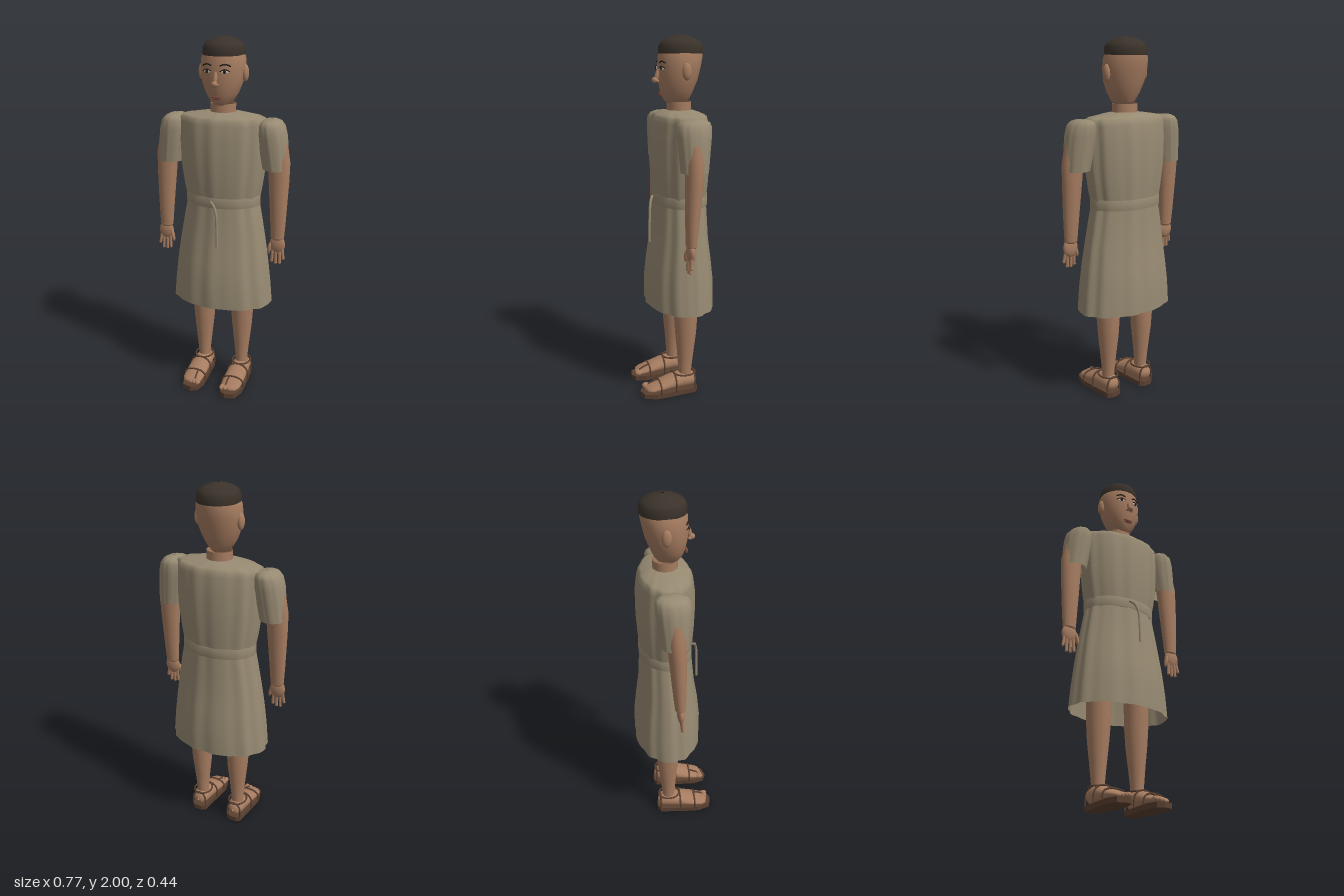
import * as THREE from 'three';

const mat = (name, color, side = THREE.FrontSide) => {
  const m = new THREE.MeshStandardMaterial({ color, side });
  m.name = name;
  return m;
};

export function createModel() {
  const root = new THREE.Group();
  root.name = 'figure';
  const skin = mat('skin', 0xa67c60, THREE.DoubleSide);
  const cloth = mat('cloth', 0x978a72, THREE.DoubleSide);
  const hair = mat('hair', 0x3a322a, THREE.DoubleSide);
  const leather = mat('leather', 0x5a4030);
  const white = mat('eyeWhite', 0xd8d0c4);
  const dark = mat('dark', 0x2a201a);
  const lip = mat('lip', 0x7c4c40);

  const add = (name, geo, m, x = 0, y = 0, z = 0, parent = root) => {
    const mesh = new THREE.Mesh(geo, m);
    mesh.name = name;
    mesh.position.set(x, y, z);
    parent.add(mesh);
    return mesh;
  };

  // Skin over elliptical rings [y, rx, rz, cx, cz], listed bottom to top, with optional cloth folds
  const loft = (rings, n = 32, fold = 0) => {
    const pos = [], idx = [];
    rings.forEach(([y, rx, rz, cx, cz]) => {
      for (let i = 0; i < n; i++) {
        const a = (i / n) * Math.PI * 2;
        const f = 1 + fold * (Math.cos(11 * a) + 0.6 * Math.cos(17 * a + 1));
        pos.push(cx + rx * f * Math.sin(a), y, cz + rz * f * Math.cos(a));
      }
    });
    for (let r = 0; r < rings.length - 1; r++) {
      for (let i = 0; i < n; i++) {
        const a = r * n + i, b = r * n + (i + 1) % n;
        idx.push(a, b, a + n, b, b + n, a + n);
      }
    }
    const g = new THREE.BufferGeometry();
    g.setAttribute('position', new THREE.Float32BufferAttribute(pos, 3));
    g.setIndex(idx);
    g.computeVertexNormals();
    return g;
  };
  const ball = (rx, ry, rz) => new THREE.SphereGeometry(1, 20, 14).scale(rx, ry, rz);
  const tube = (pts, r, closed = false) => new THREE.TubeGeometry(
    new THREE.CatmullRomCurve3(pts.map((p) => new THREE.Vector3(...p)), closed), 28, r, 8, closed);

  // Tunic: flared skirt, bodice closing at the neck, belt and hanging tie
  add('skirt', loft([
    [0.52, 0.287, 0.186, 0, -0.033], [0.65, 0.275, 0.186, 0, -0.033],
    [0.78, 0.26, 0.172, 0, -0.033], [0.9, 0.243, 0.154, 0, -0.035],
    [1.02, 0.222, 0.145, 0, -0.038], [1.12, 0.203, 0.138, 0, -0.04],
  ], 96, 0.016), cloth);
  add('bodice', loft([
    [1.12, 0.203, 0.138, 0, -0.04], [1.2, 0.218, 0.148, 0, -0.038],
    [1.32, 0.235, 0.155, 0, -0.038], [1.46, 0.241, 0.155, 0, -0.038],
    [1.55, 0.242, 0.143, 0, -0.038], [1.578, 0.24, 0.135, 0, -0.038],
    [1.588, 0.22, 0.122, 0, -0.038], [1.602, 0.13, 0.092, 0, -0.037],
    [1.61, 0.07, 0.066, 0, -0.036],
  ], 96, 0.016), cloth);
  add('belt', loft([
    [1.1, 0.203, 0.136, 0, -0.04], [1.101, 0.211, 0.146, 0, -0.04],
    [1.157, 0.211, 0.146, 0, -0.04], [1.158, 0.2, 0.134, 0, -0.04],
  ], 64, 0.006), cloth);
  add('beltTie', tube([[-0.018, 1.138, 0.112], [0.005, 1.12, 0.127], [0.022, 1.08, 0.137],
    [0.028, 1, 0.142], [0.03, 0.89, 0.144]], 0.007), cloth);

  // Head, neck and cropped hair
  add('neck', loft([[1.54, 0.068, 0.066, 0, -0.036], [1.655, 0.07, 0.066, 0, -0.036]]), skin);
  add('head', loft([
    [1.64, 0.006, 0.01, 0, -0.02], [1.648, 0.04, 0.055, 0, -0.02],
    [1.67, 0.063, 0.072, 0, -0.02], [1.71, 0.088, 0.089, 0, -0.022],
    [1.77, 0.111, 0.107, 0, -0.028], [1.84, 0.122, 0.116, 0, -0.036],
    [1.89, 0.118, 0.119, 0, -0.042], [1.92, 0.108, 0.113, 0, -0.045],
  ], 40), skin);
  add('hair', loft([
    [1.905, 0.108, 0.115, 0, -0.045], [1.906, 0.112, 0.121, 0, -0.045],
    [1.945, 0.11, 0.119, 0, -0.045], [1.966, 0.098, 0.106, 0, -0.045],
    [1.983, 0.072, 0.077, 0, -0.045], [1.996, 0.032, 0.034, 0, -0.045],
    [2, 0.008, 0.009, 0, -0.045],
  ], 40), hair);

  // Face
  add('noseBridge', ball(0.011, 0.04, 0.014), skin, 0, 1.795, 0.084).rotation.x = -0.3;
  add('noseTip', ball(0.017, 0.016, 0.017), skin, 0, 1.768, 0.099);
  add('upperLip', ball(0.029, 0.005, 0.006), lip, 0, 1.698, 0.074);
  add('lowerLip', ball(0.024, 0.006, 0.006), lip, 0, 1.689, 0.072);
  for (const s of [-1, 1]) {
    add('eye', ball(0.022, 0.009, 0.005), white, s * 0.048, 1.83, 0.073).rotation.y = s * 0.35;
    add('iris', ball(0.009, 0.009, 0.004), dark, s * 0.048, 1.83, 0.078);
    add('upperEyelid', tube([[s * 0.024, 1.831, 0.082], [s * 0.048, 1.841, 0.078],
      [s * 0.073, 1.831, 0.063]], 0.003), dark);
    add('eyebrow', tube([[s * 0.022, 1.859, 0.078], [s * 0.048, 1.867, 0.074],
      [s * 0.076, 1.858, 0.06]], 0.004), dark);
    add('nostril', ball(0.008, 0.008, 0.01), skin, s * 0.013, 1.763, 0.088);
    add('ear', ball(0.018, 0.045, 0.025), skin, s * 0.122, 1.815, -0.04);
  }

  for (const s of [-1, 1]) {
    const side = s > 0 ? 'left' : 'right';

    // Arm, sleeve and hand
    const arm = new THREE.Group();
    arm.name = side + 'Arm';
    root.add(arm);
    add('sleeve', loft([
      [1.32, 0.069, 0.073, s * 0.304, -0.022], [1.42, 0.076, 0.082, s * 0.292, -0.024],
      [1.5, 0.078, 0.09, s * 0.282, -0.026], [1.55, 0.071, 0.09, s * 0.276, -0.028],
      [1.572, 0.056, 0.077, s * 0.272, -0.032], [1.582, 0.036, 0.05, s * 0.272, -0.036],
      [1.586, 0.005, 0.006, s * 0.272, -0.04],
    ], 56, 0.014), cloth, 0, 0, 0, arm);
    add('forearm', loft([
      [0.94, 0.037, 0.028, s * 0.331, 0.002], [1.02, 0.042, 0.034, s * 0.331, -0.001],
      [1.14, 0.049, 0.041, s * 0.329, -0.006], [1.26, 0.056, 0.046, s * 0.327, -0.012],
      [1.36, 0.06, 0.049, s * 0.324, -0.016], [1.46, 0.058, 0.05, s * 0.308, -0.02],
    ]), skin, 0, 0, 0, arm);
    add('wrist', ball(0.037, 0.02, 0.029), skin, s * 0.331, 0.942, 0.002, arm);
    add('palm', ball(0.044, 0.052, 0.021), skin, s * 0.333, 0.902, 0.006, arm);
    // Finger rows: knuckle x, tip x, tip y
    [[0.31, 0.305, 0.805], [0.328, 0.327, 0.796], [0.346, 0.35, 0.798], [0.362, 0.371, 0.825]]
      .forEach(([kx, tx, ty]) => {
        add('finger', tube([[s * kx, 0.89, 0.008], [s * (kx + tx) / 2, 0.85, 0.012],
          [s * tx, ty, 0.014]], 0.0085), skin, 0, 0, 0, arm);
        add('fingertip', ball(0.0085, 0.0085, 0.0085), skin, s * tx, ty, 0.014, arm);
      });
    add('thumb', ball(0.011, 0.036, 0.012), skin, s * 0.29, 0.876, 0.016, arm).rotation.z = -s * 0.2;

    // Leg and foot
    const leg = new THREE.Group();
    leg.name = side + 'Leg';
    root.add(leg);
    const fx = s * 0.118;
    add('shin', loft([
      [0.07, 0.036, 0.038, fx, -0.037], [0.14, 0.035, 0.038, fx, -0.037],
      [0.24, 0.045, 0.047, fx, -0.039], [0.36, 0.058, 0.06, fx, -0.041],
      [0.48, 0.066, 0.068, fx, -0.04], [0.6, 0.068, 0.071, fx, -0.038],
      [0.8, 0.072, 0.075, fx, -0.036],
    ]), skin, 0, 0, 0, leg);
    add('foot', loft([
      [-0.102, 0.006, 0.006, fx, -0.07], [-0.096, 0.03, 0.03, fx, -0.07],
      [-0.075, 0.046, 0.044, fx, -0.075], [-0.02, 0.054, 0.049, fx, -0.077],
      [0.04, 0.058, 0.042, fx, -0.07], [0.11, 0.06, 0.029, fx, -0.056],
      [0.165, 0.056, 0.019, fx, -0.046], [0.19, 0.04, 0.014, fx, -0.042],
      [0.198, 0.006, 0.004, fx, -0.04],
    ]).rotateX(Math.PI / 2), skin, 0, 0, 0, leg);
    for (let i = 0; i < 5; i++) {
      const r = 0.015 - i * 0.0015;
      add('toe', ball(r, r, 0.022), skin, fx + s * (-0.042 + i * 0.021), 0.045, 0.186 - i * i * 0.002, leg);
    }

    // Sandal: sole outline in x and z, then straps
    const outline = [[-0.045, -0.09], [-0.02, -0.105], [0.02, -0.105], [0.045, -0.09], [0.062, 0.1],
      [0.062, 0.145], [0.04, 0.212], [-0.014, 0.226], [-0.046, 0.207], [-0.063, 0.145], [-0.06, 0.1]];
    const shape = new THREE.Shape(outline.map(([x, z]) => new THREE.Vector2(s * x, -z)));
    add('sole', new THREE.ExtrudeGeometry(shape, { depth: 0.028, bevelEnabled: false })
      .rotateX(-Math.PI / 2), leather, fx, 0, 0, leg);
    const strap = (name, z, rx, top) => {
      const pts = [];
      for (let i = 0; i <= 10; i++) {
        const a = (i / 10) * Math.PI;
        pts.push([fx + rx * Math.cos(a), 0.025 + (top - 0.025) * Math.sqrt(Math.sin(a)), z]);
      }
      add(name, tube(pts, 0.005), leather, 0, 0, 0, leg);
    };
    strap('toeStrap', 0.12, 0.065, 0.086);
    strap('instepStrap', 0.03, 0.063, 0.119);
    strap('heelStrap', -0.088, 0.043, 0.116);
    const loop = [];
    for (let i = 0; i < 12; i++) {
      const a = (i / 12) * Math.PI * 2;
      loop.push([fx + 0.052 * Math.sin(a), 0.116, -0.035 + 0.062 * Math.cos(a)]);
    }
    add('ankleStrap', tube(loop, 0.005, true), leather, 0, 0, 0, leg);
    add('thong', tube([[fx - s * 0.02, 0.084, 0.12], [fx - s * 0.022, 0.066, 0.165],
      [fx - s * 0.024, 0.028, 0.203]], 0.005), leather, 0, 0, 0, leg);
  }
  return root;
}
